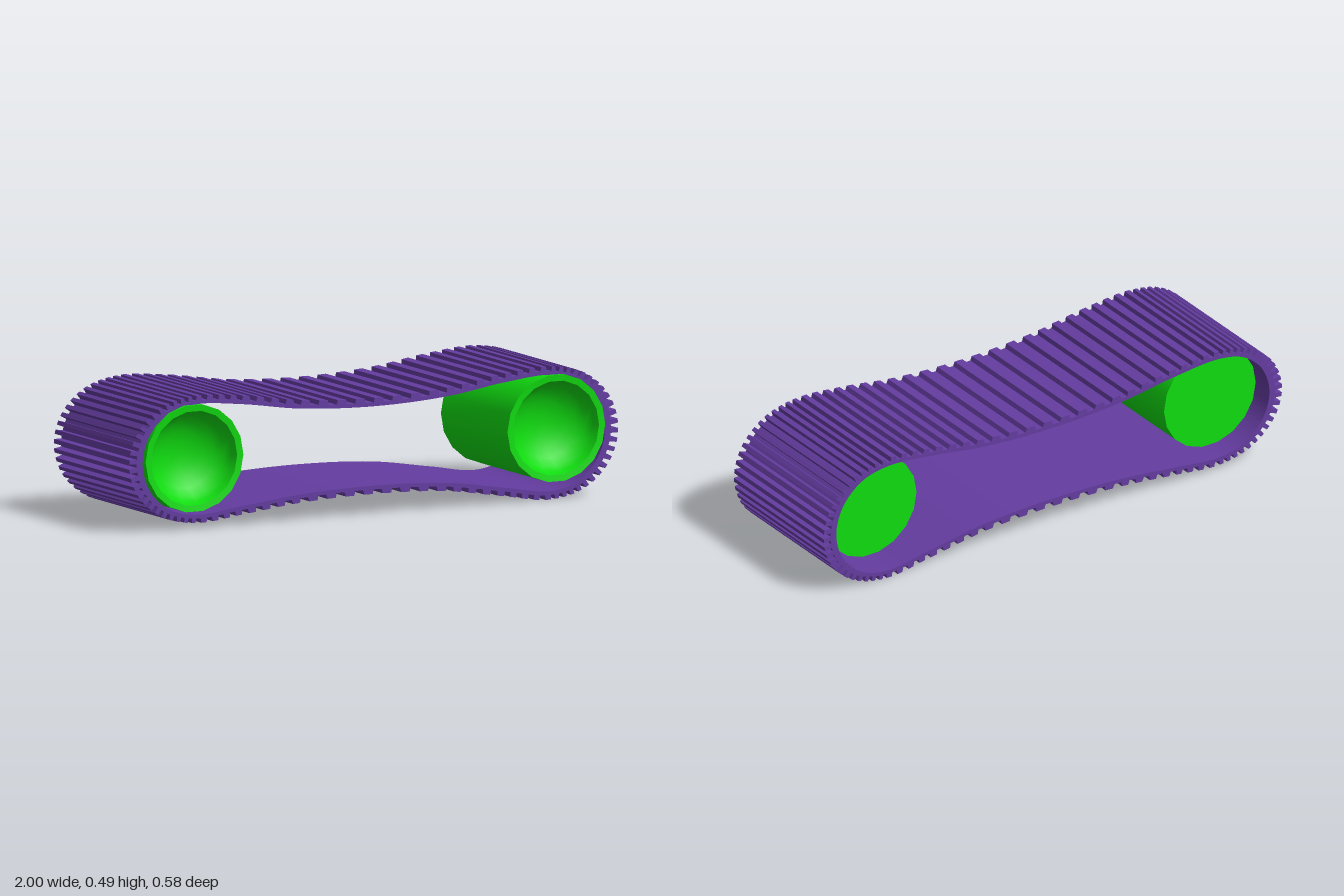
import * as THREE from 'three';
import { toCreasedNormals } from 'three/addons/utils/BufferGeometryUtils.js';

const TEETH = 96;

// Inner line of the belt, as a closed curve running counter-clockwise.
// Control points sit closer together at the ends, so the teeth do too.
function beltCurve() {
  const points = [];
  const add = (x, y) => points.push(new THREE.Vector3(x, y, 0));
  const end = (cx, cy, rx, ry, from) => {
    for (let i = 0; i <= 6; i++) {
      const a = from + (i * Math.PI) / 6;
      add(cx + rx * Math.cos(a), cy + ry * Math.sin(a));
    }
  };
  end(0.725, 0.246, 0.22, 0.212, -Math.PI / 2);
  [[0.54, 0.445], [0.3, 0.411], [0, 0.397], [-0.3, 0.411], [-0.54, 0.445]].forEach((p) => add(...p));
  end(-0.725, 0.257, 0.22, 0.201, Math.PI / 2);
  [[-0.54, 0.073], [-0.3, 0.098], [0, 0.108], [0.3, 0.096], [0.54, 0.06]].forEach((p) => add(...p));
  return new THREE.CatmullRomCurve3(points, true, 'centripetal');
}

// Toothed band: smooth inside, square ribs outside
function createBelt(material) {
  const curve = beltCurve();
  const offset = (t, amount) => {
    const p = curve.getPoint(t % 1);
    const a = curve.getPoint((t + 0.9995) % 1);
    const b = curve.getPoint((t + 0.0005) % 1);
    const d = b.sub(a).normalize();
    // The band is thicker round the outer ends
    const k = amount * (0.03 + 0.025 * d.y * d.y);
    return new THREE.Vector2(p.x + d.y * k, p.y - d.x * k);
  };
  const outer = [];
  const inner = [];
  for (let i = 0; i < TEETH; i++) {
    const at = (f) => (i + f) / TEETH;
    outer.push(offset(at(0), 0.45), offset(at(0.42), 0.45), offset(at(0.5), 1), offset(at(0.95), 1));
    inner.push(offset(at(0), 0), offset(at(0.5), 0));
  }
  const shape = new THREE.Shape(outer);
  shape.holes.push(new THREE.Path(inner.reverse()));
  const geometry = new THREE.ExtrudeGeometry(shape, { depth: 0.57, bevelEnabled: false });
  geometry.translate(0, 0, -0.29);
  const belt = new THREE.Mesh(geometry, material);
  belt.name = 'toothedBelt';
  return belt;
}

// Roller drum with a flat back and a dished front
function createRoller(x, name, material) {
  const r = 0.2, dishR = 0.176, front = 0.293, back = -0.21, depth = 0.11;
  const profile = [[0, back], [r, back], [r, front]];
  for (let i = 0; i <= 6; i++) {
    const a = (i / 6) * Math.PI / 2;
    profile.push([dishR * Math.cos(a), front - 0.003 - depth * Math.sin(a)]);
  }
  const lathe = new THREE.LatheGeometry(profile.map((p) => new THREE.Vector2(...p)), 18, Math.PI / 2);
  lathe.rotateX(Math.PI / 2);
  lathe.scale(1, 0.983, 1);
  const roller = new THREE.Mesh(toCreasedNormals(lathe, 0.7), material);
  roller.position.set(x, 0.264, 0);
  roller.name = name;
  return roller;
}

export function createModel() {
  const purple = new THREE.MeshStandardMaterial({ color: 0x643ca0 });
  const green = new THREE.MeshStandardMaterial({ color: 0x10dd10 });
  const model = new THREE.Group();
  model.name = 'conveyorTrack';
  model.add(createBelt(purple));
  model.add(createRoller(0.74, 'leftRoller', green));
  model.add(createRoller(-0.74, 'rightRoller', green));
  return model;
}
